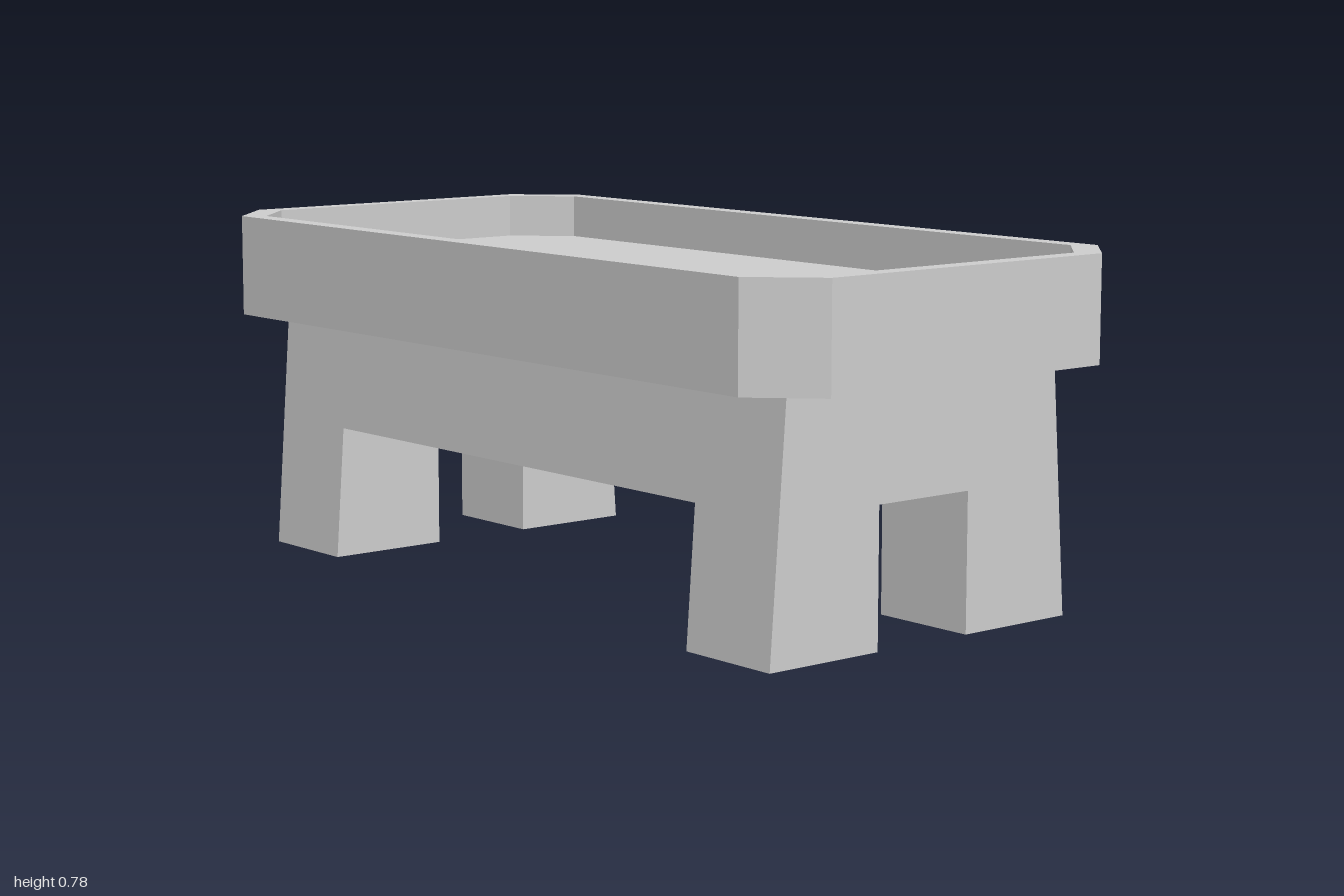
import * as THREE from 'three';

const material = new THREE.MeshStandardMaterial({ color: 0xcccccc, flatShading: true });

// Closed outline from [x, y] pairs
const outline = (points) => new THREE.Shape(points.map(([x, y]) => new THREE.Vector2(x, y)));

// Rectangle with its four corners cut off, as half sizes
const cutRectangle = (w, h, c) => [
  [w, c - h], [w, h - c], [w - c, h], [c - w, h],
  [-w, h - c], [-w, c - h], [c - w, -h], [w - c, -h],
];

const extrude = (shape, depth) =>
  new THREE.ExtrudeGeometry(shape, { depth, bevelEnabled: false });

export function createModel() {
  const group = new THREE.Group();
  const add = (name, geometry) => {
    const mesh = new THREE.Mesh(geometry, material);
    mesh.name = name;
    group.add(mesh);
  };

  const bottom = 0.55, floor = 0.68, top = 0.78;
  const legEnd = 0.875, legInner = 0.625, arch = 0.3, gap = 0.125;
  const sideX = (y) => 0.415 - (0.04 * y) / bottom; // sloping outer side

  // Tray: solid lower slab with a raised rim around it
  const trayOutline = cutRectangle(0.5, 1, 0.125);
  const rimShape = outline(trayOutline);
  rimShape.holes.push(new THREE.Path(
    cutRectangle(0.455, 0.955, 0.115).map(([x, y]) => new THREE.Vector2(x, y))));
  const layFlat = (geometry, y) => geometry.rotateX(-Math.PI / 2).translate(0, y, 0);
  add('trayFloor', layFlat(extrude(outline(trayOutline), floor - bottom), bottom));
  add('trayRim', layFlat(extrude(rimShape, top - floor), floor));

  // End frames: a pair of legs joined above a square arch
  const frame = outline([
    [-sideX(0), 0], [-gap, 0], [-gap, arch], [gap, arch], [gap, 0],
    [sideX(0), 0], [sideX(bottom), bottom], [-sideX(bottom), bottom],
  ]);
  add('frontLegs', extrude(frame, legEnd - legInner).translate(0, 0, legInner));
  add('backLegs', extrude(frame, legEnd - legInner).translate(0, 0, -legEnd));

  // Rail body between the end frames, with a channel along its underside
  const channel = 0.43;
  const rails = outline([
    [-sideX(arch), arch], [-gap, arch], [-gap, channel], [gap, channel], [gap, arch],
    [sideX(arch), arch], [sideX(bottom), bottom], [-sideX(bottom), bottom],
  ]);
  add('sideRails', extrude(rails, 2 * legInner).translate(0, 0, -legInner));

  return group;
}
